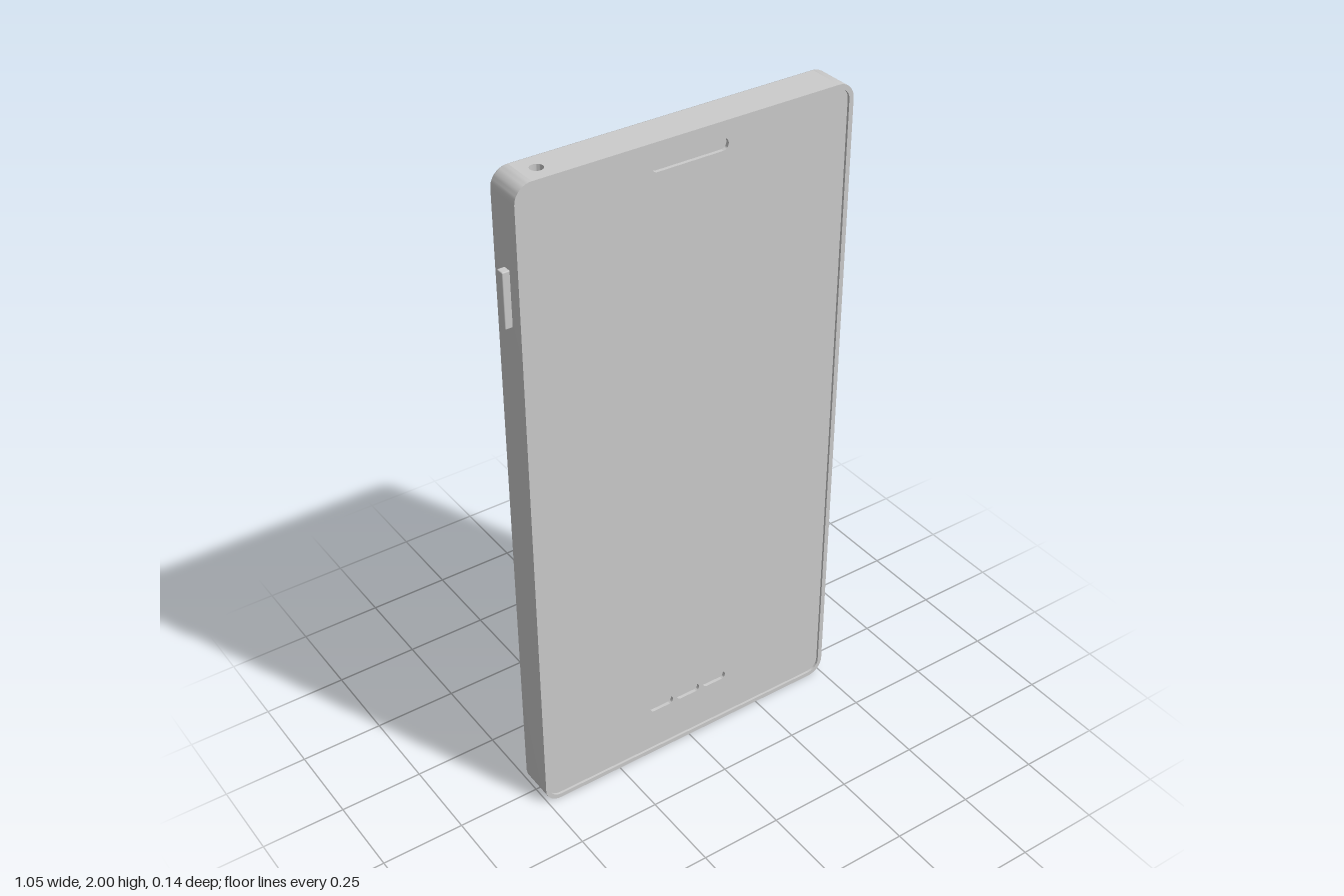
import * as THREE from 'three';
import { toCreasedNormals } from 'three/addons/utils/BufferGeometryUtils.js';
import { RoundedBoxGeometry } from 'three/addons/geometries/RoundedBoxGeometry.js';

const N = 10; // segments per rounded corner
const W = 1.01, H = 2, R = 0.05, FRONT = 0.068, BACK = -0.045;
const PORT_X = -0.41, PORT_Z = 0.015;
const material = new THREE.MeshStandardMaterial({ color: 0xcccccc });

// Rounded rectangle, counter-clockwise, starting at the upper +x corner
function contour(w, h, r) {
  const points = [];
  [[1, 1], [-1, 1], [-1, -1], [1, -1]].forEach(([sx, sy], corner) => {
    for (let i = 0; i <= N; i++) {
      const a = (corner + i / N) * Math.PI / 2;
      points.push(new THREE.Vector2(sx * (w / 2 - r) + r * Math.cos(a), sy * (h / 2 - r) + r * Math.sin(a)));
    }
  });
  return points;
}

// Skin over inset copies of one rounded rectangle; each ring is [inset, z]
function loft(w, h, r, rings, { capStart = false, capEnd = false, skip = () => false } = {}) {
  const pos = [], idx = [], count = 4 * (N + 1);
  for (const [d, z] of rings) {
    for (const p of contour(w - 2 * d, h - 2 * d, r - d)) pos.push(p.x, p.y, z);
  }
  for (let i = 0; i < rings.length - 1; i++) {
    for (let j = 0; j < count; j++) {
      if (skip(i, j)) continue;
      const k = (j + 1) % count, a = i * count, b = a + count;
      idx.push(a + j, a + k, b + k, a + j, b + k, b + j);
    }
  }
  const last = (rings.length - 1) * count;
  for (let j = 1; j < count - 1; j++) {
    if (capStart) idx.push(0, j + 1, j);
    if (capEnd) idx.push(last, last + j, last + j + 1);
  }
  const geo = new THREE.BufferGeometry();
  geo.setAttribute('position', new THREE.Float32BufferAttribute(pos, 3));
  geo.setIndex(idx);
  return toCreasedNormals(geo, 0.6);
}

// Recess with walls and floor, open towards +z
const well = (w, h, depth) => loft(w, h, Math.min(w, h) / 2, [[0, 0], [0, -depth]], { capEnd: true });

// Flat panel with rounded holes; each hole is [x, y, w, h]
function panel(outline, holes) {
  const shape = new THREE.Shape(outline);
  for (const [x, y, w, h] of holes) {
    const points = contour(w, h, Math.min(w, h) / 2).map(p => p.add(new THREE.Vector2(x, y)));
    shape.holes.push(new THREE.Path(points.reverse()));
  }
  return new THREE.ShapeGeometry(shape);
}

export function createModel() {
  const model = new THREE.Group();
  const add = (name, geo, x = 0, y = 0, z = 0, parent = model) => {
    const mesh = new THREE.Mesh(geo, material);
    mesh.name = name;
    mesh.position.set(x, y, z);
    parent.add(mesh);
    return mesh;
  };

  // Case with softened back edge and raised front rim; end walls are added below
  const edge = BACK + 0.006, inset = 0.014, glassZ = FRONT - 0.007;
  add('case', loft(W, H, R, [
    [0.006, BACK], [0.003, BACK + 0.0008], [0.0008, BACK + 0.003], [0, edge],
    [0, FRONT], [inset, FRONT], [inset, glassZ],
  ], { capStart: true, skip: (i, j) => i === 3 && (j === N || j === 3 * N + 2) }), 0, H / 2);

  // Screen with earpiece and microphone slots
  const slots = [
    ['earpiece', 0, 1.932, 0.23, 0.034],
    ...[-0.095, 0, 0.095].map(x => ['microphoneSlot', x, 0.168, 0.08, 0.028]),
  ];
  const outline = contour(W - 2 * inset, H - 2 * inset, R - inset);
  add('screen', panel(outline, slots.map(([, x, y, w, h]) => [x, y - H / 2, w, h])), 0, H / 2, glassZ);
  for (const [name, x, y, w, h] of slots) add(name, well(w, h, 0.01), x, y, glassZ);

  // End walls: round socket on top, charging slot underneath
  const halfW = W / 2 - R;
  const ends = [
    ['top', H, -1, 0.036, 0.036, 'audioSocket'],
    ['bottom', 0, 1, 0.09, 0.024, 'chargingPort'],
  ];
  for (const [side, y, s, w, h, port] of ends) {
    const end = new THREE.Group();
    end.name = side + 'End';
    end.position.y = y;
    end.rotation.x = s * Math.PI / 2;
    const zs = [s * edge, s * FRONT].sort((a, b) => a - b);
    const wall = [[-halfW, zs[0]], [halfW, zs[0]], [halfW, zs[1]], [-halfW, zs[1]]]
      .map(p => new THREE.Vector2(...p));
    add(side + 'Wall', panel(wall, [[PORT_X, s * PORT_Z, w, h]]), 0, 0, 0, end);
    add(port, well(w, h, 0.04), PORT_X, s * PORT_Z, 0, end);
    model.add(end);
  }

  // Side buttons: [name, side, lower y, upper y]
  const buttons = [
    ['volumeUpButton', 1, 1.68, 1.76],
    ['middleButton', 1, 1.62, 1.665],
    ['volumeDownButton', 1, 1.525, 1.605],
    ['powerButton', -1, 1.6, 1.76],
  ];
  for (const [name, side, y0, y1] of buttons) {
    add(name, new RoundedBoxGeometry(0.04, y1 - y0, 0.025, 2, 0.003), side * 0.506, (y0 + y1) / 2, 0.016);
  }

  // Domed camera housing with a recessed lens window
  const rings = [];
  for (let i = 0; i <= 8; i++) {
    const a = i / 8 * Math.PI / 2.3;
    rings.push([0.024 * (1 - Math.cos(a)) / (1 - Math.cos(Math.PI / 2.3)), 0.028 * Math.sin(a) / Math.sin(Math.PI / 2.3)]);
  }
  rings.push([0.03, 0.028], [0.03, 0.021]);
  const camera = add('cameraHousing', loft(0.276, 0.196, 0.098, rings, { capEnd: true }), 0, 1.638, BACK);
  camera.rotation.y = Math.PI;

  return model;
}
